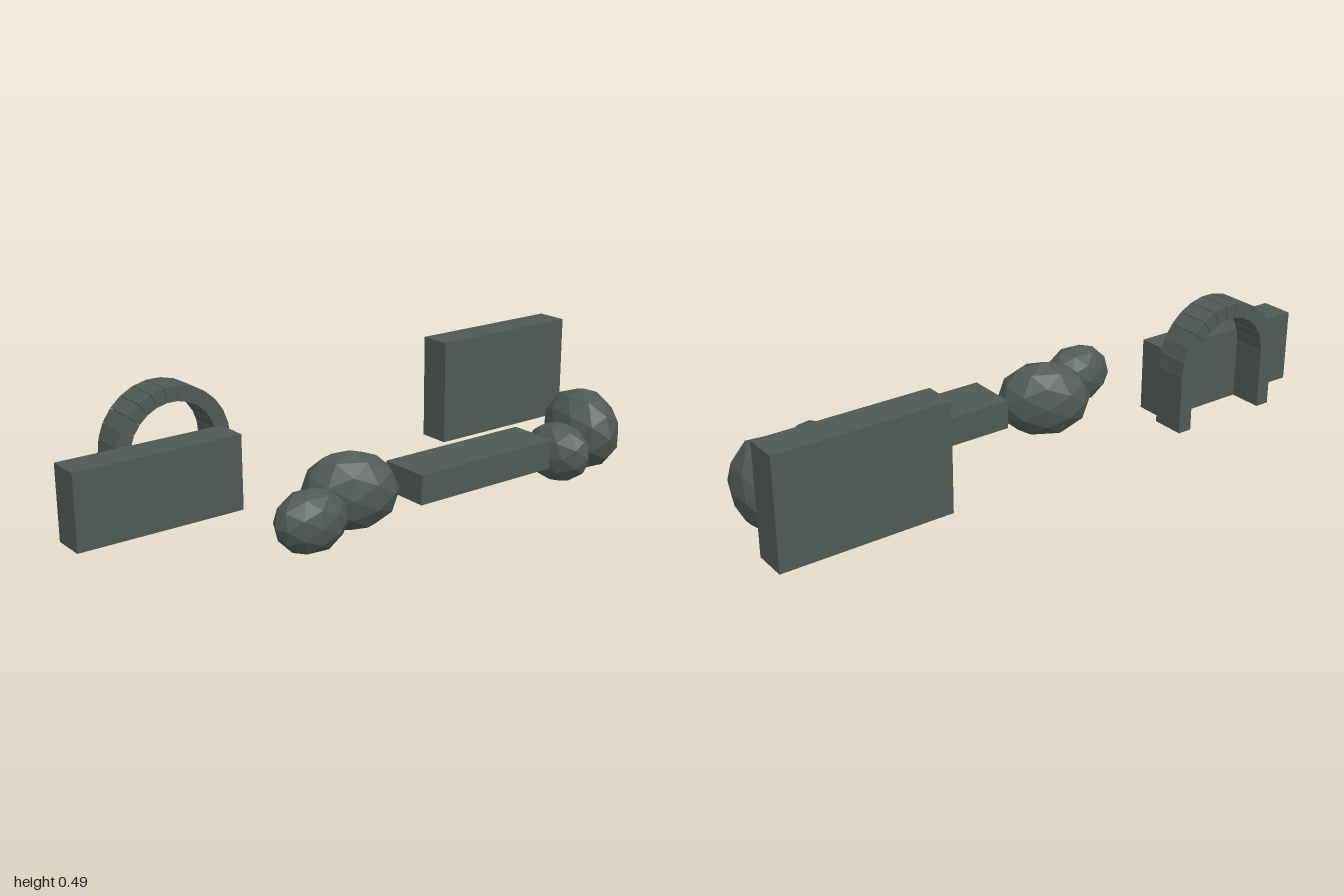
import * as THREE from 'three';

export function createModel() {
  const model = new THREE.Group();
  const stone = new THREE.MeshStandardMaterial({ color: 0x4f5956, flatShading: true });
  stone.name = 'darkStone';

  const add = (name, geometry, parent = model) => {
    const mesh = new THREE.Mesh(geometry, stone);
    mesh.name = name;
    parent.add(mesh);
    return mesh;
  };

  // Box given by its minimum and maximum corners
  const block = (name, a, b, parent) => {
    const mesh = add(name, new THREE.BoxGeometry(b[0] - a[0], b[1] - a[1], b[2] - a[2]), parent);
    mesh.position.set((a[0] + b[0]) / 2, (a[1] + b[1]) / 2, (a[2] + b[2]) / 2);
  };

  // Broken wall pieces
  const base = 0.095;
  block('rightWall', [-1, base, -0.198], [-0.447, 0.336, -0.088]);
  block('leftWall', [0.445, base, -0.309], [1, 0.448, -0.199]);
  block('lowWall', [0, base, 0.043], [0.553, 0.192, 0.217]);

  // Archway: stacked jamb blocks under a ring of wedge stones
  const arch = new THREE.Group();
  arch.name = 'archway';
  model.add(arch);
  const cx = -0.613, spring = 0.293, outer = 0.196, inner = 0.148;
  const zBack = -0.309, zFront = -0.199;

  const courses = 5, h = (spring - base) / courses, gap = 0.001;
  for (const side of [-1, 1]) {
    const x = [cx + side * inner, cx + side * outer].sort((p, q) => p - q);
    for (let i = 0; i < courses; i++) {
      const y = base + i * h;
      block('jambBlock', [x[0], y, zBack], [x[1], y + h - gap, zFront], arch);
    }
  }

  const wedges = 13, step = Math.PI / wedges;
  for (let i = 0; i < wedges; i++) {
    const a = (i + 0.02) * step, b = (i + 0.98) * step;
    const corner = (r, t) => new THREE.Vector2(r * Math.cos(t), r * Math.sin(t));
    const shape = new THREE.Shape([
      corner(inner, a), corner(outer, a), corner(outer, b), corner(inner, b),
    ]);
    const wedge = add('archStone',
      new THREE.ExtrudeGeometry(shape, { depth: zFront - zBack, bevelEnabled: false }), arch);
    wedge.position.set(cx, spring, zBack);
  }

  // Fallen boulders: [centre, radii, turn]
  const boulders = [
    [[-0.393, 0.132, 0.187], [0.118, 0.102, 0.083], -0.1],
    [[-0.168, 0.141, 0.077], [0.155, 0.13, 0.098], -0.5],
    [[0.61, 0.132, 0.187], [0.078, 0.102, 0.118], 0.2],
    [[0.83, 0.142, 0.078], [0.113, 0.142, 0.158], -0.13],
  ];
  for (const [centre, radii, turn] of boulders) {
    const rock = add('boulder', new THREE.IcosahedronGeometry(1, 1));
    rock.position.set(...centre);
    rock.scale.set(...radii);
    rock.rotation.y = turn;
  }

  return model;
}
